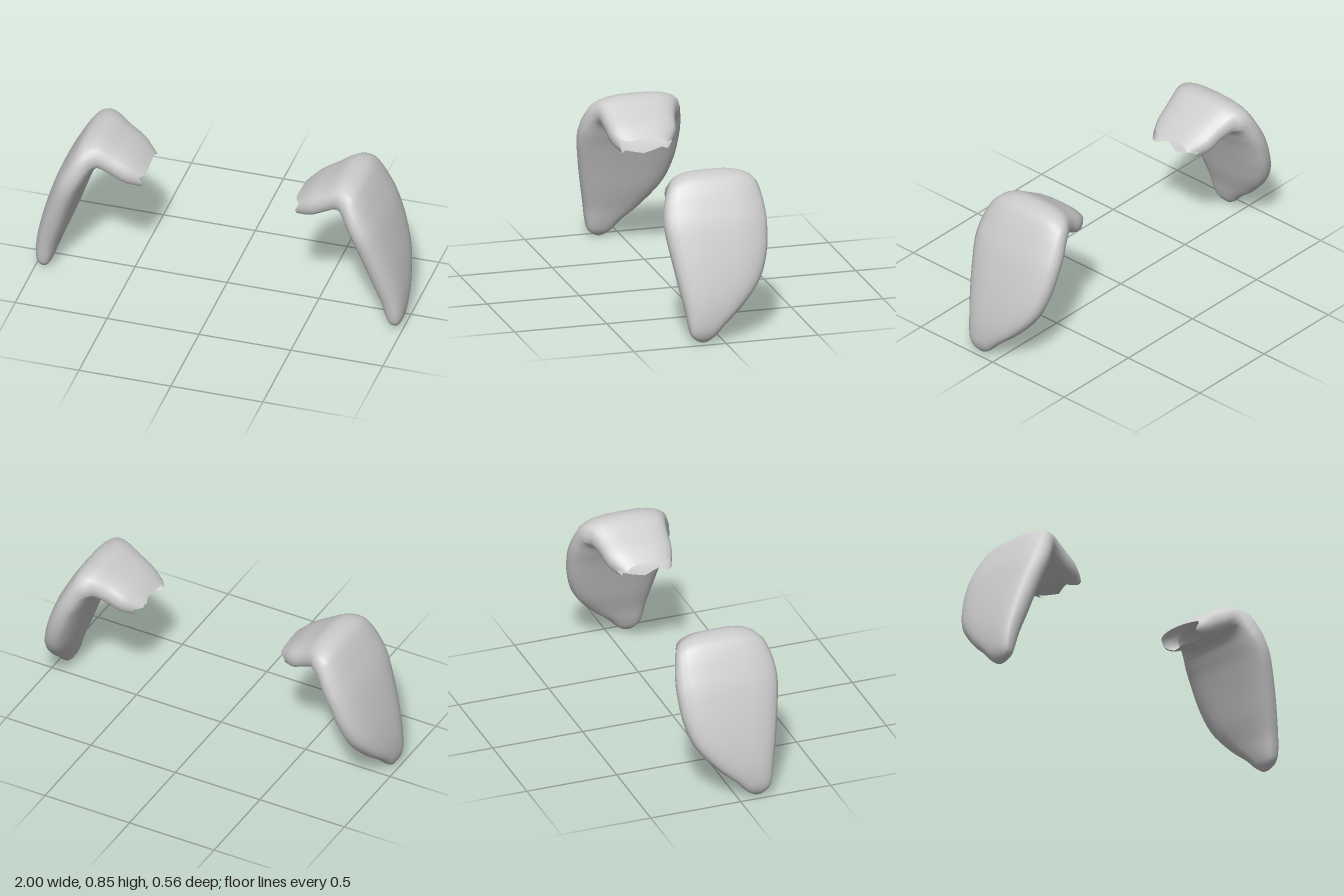
import * as THREE from 'three';

// Cross-sections from the open root to the tip:
// [upper/outer x, y, lower/inner x, y, front z, back z]
const SECTIONS = [
  [0.40, 0.68, 0.43, 0.595, 0.15, -0.11],
  [0.48, 0.75, 0.51, 0.61, 0.185, -0.17],
  [0.57, 0.805, 0.58, 0.645, 0.195, -0.19],
  [0.64, 0.845, 0.635, 0.675, 0.205, -0.215],
  [0.695, 0.85, 0.655, 0.68, 0.22, -0.24],
  [0.75, 0.83, 0.67, 0.67, 0.24, -0.255],
  [0.79, 0.78, 0.685, 0.65, 0.257, -0.265],
  [0.83, 0.71, 0.705, 0.61, 0.272, -0.275],
  [0.88, 0.61, 0.735, 0.545, 0.276, -0.278],
  [0.93, 0.47, 0.785, 0.41, 0.255, -0.262],
  [0.97, 0.33, 0.83, 0.28, 0.23, -0.212],
  [0.995, 0.20, 0.875, 0.165, 0.205, -0.11],
  [1.00, 0.10, 0.90, 0.09, 0.19, -0.01],
  [0.99, 0.045, 0.92, 0.04, 0.175, 0.04],
  [0.97, 0.012, 0.94, 0.012, 0.14, 0.08],
  [0.955, 0.001, 0.955, 0.001, 0.11, 0.11],
];
// How far the torn root edge is cut back, going round from front over the top
const JAG = [0, 0.3, 0.5, 0.25, 0.1, 0.1, 0.15, 0.2, 0.15, 0.1, 0, 0.2,
  0.6, 0.3, 0.2, 0.6, 1, 0.7, 0.3, 0.7, 0.9, 0.4, 0.1, 0];
const AROUND = JAG.length;
const ALONG = 56;

const power = (v, p) => Math.sign(v) * Math.abs(v) ** p;

function earGeometry(side) {
  const outer = new THREE.CatmullRomCurve3(
    SECTIONS.map(s => new THREE.Vector3(s[0], s[1], s[4])), false, 'catmullrom');
  const inner = new THREE.CatmullRomCurve3(
    SECTIONS.map(s => new THREE.Vector3(s[2], s[3], s[5])), false, 'catmullrom');
  const positions = [];
  const index = [];
  for (let i = 0; i <= ALONG; i++) {
    const t = i / ALONG;
    for (let j = 0; j < AROUND; j++) {
      const u = Math.min(1, t + JAG[j] * 0.05 * (1 - t) ** 8);
      const o = outer.getPoint(u);
      const n = inner.getPoint(u);
      const a = (j / AROUND) * Math.PI * 2;
      // rounded flat section
      const across = power(Math.cos(a), 0.75) / 2;
      const up = power(Math.sin(a), 0.75) / 2;
      positions.push(
        side * ((o.x + n.x) / 2 + (o.x - n.x) * up),
        (o.y + n.y) / 2 + (o.y - n.y) * up,
        (o.z + n.z) / 2 + (o.z - n.z) * across);
      if (i < ALONG) {
        const k = (j + 1) % AROUND;
        const p = i * AROUND + j, q = p + AROUND;
        const r = i * AROUND + k, s = r + AROUND;
        if (side > 0) index.push(p, q, r, q, s, r);
        else index.push(p, r, q, q, r, s);
      }
    }
  }
  const geometry = new THREE.BufferGeometry();
  geometry.setAttribute('position', new THREE.Float32BufferAttribute(positions, 3));
  geometry.setIndex(index);
  geometry.computeVertexNormals();
  return geometry;
}

export function createModel() {
  const group = new THREE.Group();
  group.name = 'floppyEars';
  // open at the root, so both faces show
  const material = new THREE.MeshStandardMaterial({ color: 0xcccccc, side: THREE.DoubleSide });
  for (const side of [1, -1]) {
    const ear = new THREE.Mesh(earGeometry(side), material);
    ear.name = side > 0 ? 'leftEar' : 'rightEar';
    group.add(ear);
  }
  return group;
}
